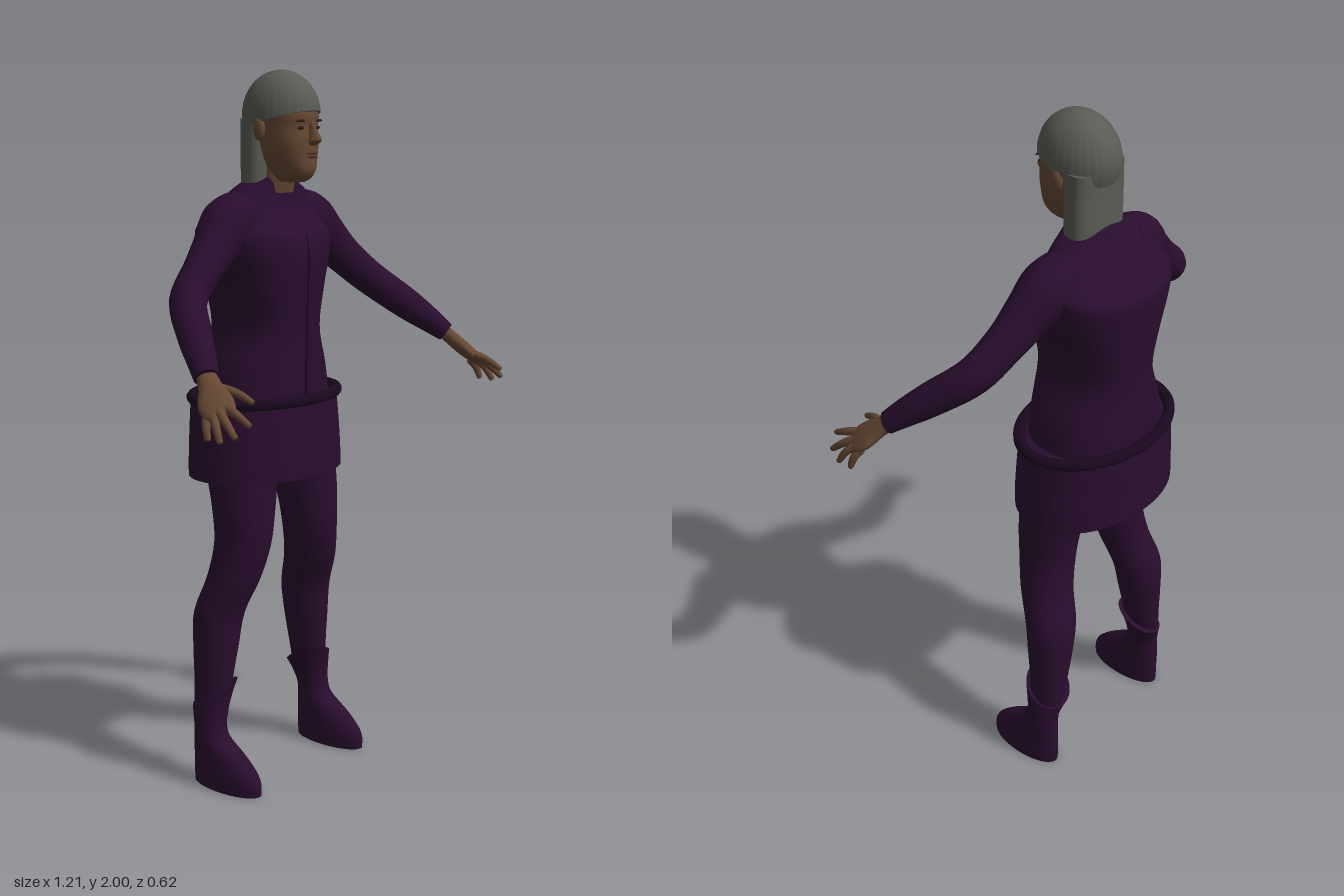
import * as THREE from 'three';

const V = (x, y, z) => new THREE.Vector3(x, y, z);
const mat = (name, color) => {
  const m = new THREE.MeshStandardMaterial({ color, side: THREE.DoubleSide });
  m.name = name;
  return m;
};

// Skin a stack of closed rings, with flat caps at both ends
function skin(rings) {
  const pos = [], idx = [], n = rings[0].length;
  rings.forEach(r => r.forEach(p => pos.push(p.x, p.y, p.z)));
  for (let i = 0; i < rings.length - 1; i++) {
    for (let j = 0; j < n; j++) {
      const k = (j + 1) % n, a = i * n + j, b = a + n, c = i * n + k, d = c + n;
      idx.push(a, b, c, b, d, c);
    }
  }
  [rings[0], rings[rings.length - 1]].forEach((r, end) => {
    const base = pos.length / 3, mid = V(0, 0, 0);
    r.forEach(p => { pos.push(p.x, p.y, p.z); mid.add(p); });
    mid.divideScalar(n);
    pos.push(mid.x, mid.y, mid.z);
    for (let j = 0; j < n; j++) {
      const k = (j + 1) % n;
      idx.push(base + n, base + (end ? k : j), base + (end ? j : k));
    }
  });
  const g = new THREE.BufferGeometry();
  g.setAttribute('position', new THREE.Float32BufferAttribute(pos, 3));
  g.setIndex(idx);
  g.computeVertexNormals();
  return g;
}

// Smoothly interpolate rows of numbers
function smooth(rows, steps) {
  const out = [], last = rows.length - 1;
  for (let i = 0; i < last; i++) {
    const [a, b, c, d] = [i - 1, i, i + 1, i + 2].map(k => rows[Math.min(last, Math.max(0, k))]);
    for (let s = 0; s < steps; s++) {
      const t = s / steps;
      out.push(b.map((_, q) => b[q] + 0.5 * t * (c[q] - a[q] + t * (2 * a[q] - 5 * b[q] + 4 * c[q] - d[q]
        + t * (3 * (b[q] - c[q]) + d[q] - a[q])))));
    }
  }
  out.push(rows[last]);
  return out;
}

// Upright form from rows of [y, centre x, half width, front z, back z]
function loft(rows, { power = 2, steps = 4, sides = 32, tilt = () => 0 } = {}) {
  const bend = v => Math.sign(v) * Math.abs(v) ** (2 / power);
  return skin(smooth(rows, steps).map(([y, cx, hw, zf, zb], i) =>
    Array.from({ length: sides }, (_, j) => {
      const a = j / sides * Math.PI * 2;
      const x = bend(Math.cos(a)), z = bend(Math.sin(a));
      return V(cx + hw * x, y + tilt(x, z, y), (zf + zb) / 2 + (zf - zb) / 2 * z);
    })));
}

// Limb along a path from rows of [x, y, z, half width, half thickness]
function limb(rows, sides = 20, steps = 5) {
  const s = smooth(rows, steps), ref = V(0.6, 0.75, 0.3).normalize();
  const at = i => V(...s[Math.min(s.length - 1, Math.max(0, i))].slice(0, 3));
  return skin(s.map((r, i) => {
    const t = at(i + 1).sub(at(i - 1)).normalize();
    const side = t.clone().cross(ref).normalize(), up = side.clone().cross(t);
    return Array.from({ length: sides }, (_, j) => {
      const a = j / sides * Math.PI * 2;
      return at(i).addScaledVector(side, r[3] * Math.cos(a)).addScaledVector(up, r[4] * Math.sin(a));
    });
  }));
}

function mirrored(geo) {
  const g = geo.clone().scale(-1, 1, 1), ix = g.index;
  for (let i = 0; i < ix.count; i += 3) {
    const b = ix.getX(i + 1);
    ix.setX(i + 1, ix.getX(i + 2));
    ix.setX(i + 2, b);
  }
  return g;
}

const blob = (x, y, z, rx, ry, rz) => new THREE.SphereGeometry(1, 16, 12).scale(rx, ry, rz).translate(x, y, z);

export function createModel() {
  const model = new THREE.Group();
  const suit = mat('dark plum', 0x290d2e), trim = mat('deep plum', 0x1a071e);
  const skinTone = mat('skin', 0x664833), hair = mat('grey hair', 0x595b54);
  const dark = mat('dark brown', 0x2a1c15), lip = mat('lips', 0x573529);
  const add = (name, geo, m) => {
    const mesh = new THREE.Mesh(geo, m);
    mesh.name = name;
    model.add(mesh);
  };
  const pair = (name, geo, m) => {
    add('left ' + name, geo, m);
    add('right ' + name, mirrored(geo), m);
  };

  // Torso with a front seam
  const torso = [
    [1.06, 0, 0.195, 0.03, -0.275], [1.13, 0, 0.188, 0.03, -0.275], [1.2, 0, 0.17, 0.03, -0.272],
    [1.3, 0, 0.133, 0.033, -0.272], [1.4, 0, 0.155, 0.036, -0.278], [1.5, 0, 0.188, 0.04, -0.287],
    [1.555, 0, 0.198, 0.03, -0.288], [1.585, 0, 0.198, 0, -0.265], [1.625, 0, 0.18, -0.03, -0.21],
    [1.67, 0, 0.14, -0.045, -0.175], [1.7, 0, 0.085, -0.045, -0.16], [1.715, 0, 0.06, -0.045, -0.15]];
  add('torso', loft(torso, { power: 2.4, sides: 40 }), suit);
  add('front seam', loft(torso.slice(0, 7).map(r => [r[0], 0, 0.004, r[3] + 0.003, r[3] - 0.005])), trim);

  // Skirt and belt
  add('skirt', loft([[0.885, 0, 0.252, 0.06, -0.3], [0.95, 0, 0.25, 0.059, -0.3], [1.06, 0, 0.24, 0.054, -0.3],
    [1.1, 0, 0.235, 0.05, -0.298]], { power: 2.1, sides: 48 }), suit);
  const oval = new THREE.CatmullRomCurve3(Array.from({ length: 24 }, (_, i) => {
    const a = i / 24 * Math.PI * 2;
    return V(0.24 * Math.cos(a), 1.105, -0.121 + 0.173 * Math.sin(a));
  }), true);
  add('belt', new THREE.TubeGeometry(oval, 64, 0.016, 10, true), trim);

  // Legs
  pair('leg', loft([
    [0.2, 0.222, 0.042, -0.085, -0.19], [0.3, 0.21, 0.05, -0.08, -0.196], [0.4, 0.2, 0.063, -0.07, -0.202],
    [0.5, 0.19, 0.073, -0.058, -0.202], [0.6, 0.168, 0.072, -0.017, -0.174], [0.7, 0.147, 0.077, 0.004, -0.162],
    [0.8, 0.138, 0.088, 0.008, -0.172], [0.9, 0.127, 0.1, 0.005, -0.2], [1, 0.115, 0.11, 0, -0.24]]), suit);

  // Boots with tops cut lower at the back
  pair('boot', loft([
    [0, 0.231, 0.049, 0.053, -0.185], [0.03, 0.231, 0.05, 0.053, -0.186], [0.06, 0.231, 0.048, 0.038, -0.186],
    [0.1, 0.231, 0.045, -0.008, -0.186], [0.14, 0.231, 0.044, -0.07, -0.182], [0.18, 0.228, 0.045, -0.085, -0.182],
    [0.23, 0.218, 0.054, -0.078, -0.191], [0.265, 0.208, 0.062, -0.068, -0.2]],
    { tilt: (x, z, y) => Math.max(0, y - 0.15) / 0.115 * (0.035 * z - 0.02 * x) }), suit);

  // Arms
  pair('arm', limb([
    [0.1, 1.61, -0.115, 0.075, 0.07], [0.17, 1.585, -0.108, 0.075, 0.078], [0.23, 1.535, -0.095, 0.062, 0.066],
    [0.3, 1.475, -0.08, 0.052, 0.055], [0.385, 1.405, -0.05, 0.05, 0.05], [0.45, 1.33, 0.035, 0.046, 0.046],
    [0.49, 1.28, 0.095, 0.039, 0.037], [0.518, 1.243, 0.137, 0.033, 0.028]]), suit);

  // Hands
  pair('palm', limb([
    [0.51, 1.252, 0.125, 0.025, 0.02], [0.527, 1.222, 0.158, 0.031, 0.02],
    [0.545, 1.192, 0.19, 0.045, 0.019], [0.559, 1.168, 0.22, 0.042, 0.014], [0.563, 1.162, 0.228, 0.03, 0.008]]), skinTone);
  const fingers = {
    thumb: [[0.515, 1.222, 0.165], [0.495, 1.21, 0.215], [0.484, 1.19, 0.258]],
    'index finger': [[0.54, 1.185, 0.215], [0.548, 1.17, 0.262], [0.551, 1.148, 0.307]],
    'middle finger': [[0.556, 1.177, 0.21], [0.574, 1.152, 0.252], [0.583, 1.12, 0.29]],
    'ring finger': [[0.567, 1.168, 0.202], [0.586, 1.142, 0.23], [0.596, 1.106, 0.252]],
    'little finger': [[0.573, 1.16, 0.188], [0.588, 1.137, 0.2], [0.594, 1.106, 0.21]]
  };
  for (const [name, [a, b, c]] of Object.entries(fingers)) {
    const tip = c.map((v, i) => v + (c[i] - b[i]) * 0.08);
    pair(name, limb([[...a, 0.013, 0.013], [...b, 0.011, 0.011], [...c, 0.008, 0.008], [...tip, 0.003, 0.003]], 10, 4), skinTone);
  }

  // Neck and head
  add('neck', loft([[1.67, 0, 0.058, -0.035, -0.14], [1.77, 0, 0.052, -0.01, -0.14]]), skinTone);
  add('head', loft([
    [1.7, 0, 0.028, 0.015, -0.06], [1.712, 0, 0.042, 0.038, -0.09], [1.735, 0, 0.054, 0.051, -0.11],
    [1.77, 0, 0.068, 0.051, -0.125], [1.81, 0, 0.077, 0.052, -0.14], [1.85, 0, 0.081, 0.047, -0.15],
    [1.88, 0, 0.083, 0.05, -0.155], [1.92, 0, 0.08, 0.038, -0.15]], { power: 2.15, sides: 40 }), skinTone);
  add('nose', loft([[1.8, 0, 0.012, 0.062, 0.03], [1.81, 0, 0.017, 0.078, 0.03], [1.82, 0, 0.014, 0.08, 0.03],
    [1.84, 0, 0.009, 0.066, 0.03], [1.87, 0, 0.007, 0.052, 0.03]], { sides: 16 }), skinTone);
  add('upper lip', blob(0, 1.779, 0.05, 0.022, 0.004, 0.009), lip);
  add('lower lip', blob(0, 1.77, 0.05, 0.019, 0.005, 0.009), lip);
  pair('eye', blob(0.032, 1.846, 0.039, 0.014, 0.005, 0.005), dark);
  pair('eyebrow', blob(0.034, 1.865, 0.041, 0.02, 0.004, 0.005), dark);
  pair('ear', blob(0.088, 1.842, -0.062, 0.012, 0.03, 0.019), skinTone);

  // Ribbed hair cap with a lower edge at the back
  const cap = Array.from({ length: 17 }, (_, i) => Array.from({ length: 96 }, (_, j) => {
    const a = j / 96 * Math.PI * 2;
    const low = Math.asin((-0.018 + 0.03 * Math.sin(a)) / 0.12);
    const p = low + (Math.PI / 2 - 0.02 - low) * i / 16;
    const r = Math.cos(p) * (1 - 0.012 * Math.abs(Math.sin(16 * a)));
    return V(0.093 * r * Math.cos(a), 1.88 + 0.12 * Math.sin(p), -0.059 + 0.117 * r * Math.sin(a));
  }));
  add('hair cap', skin(cap), hair);
  add('hair fall', loft([[1.67, 0, 0.09, -0.062, -0.152], [1.76, 0, 0.091, -0.062, -0.153],
    [1.87, 0, 0.089, -0.06, -0.155]], { power: 2.8 }), hair);

  return model;
}
